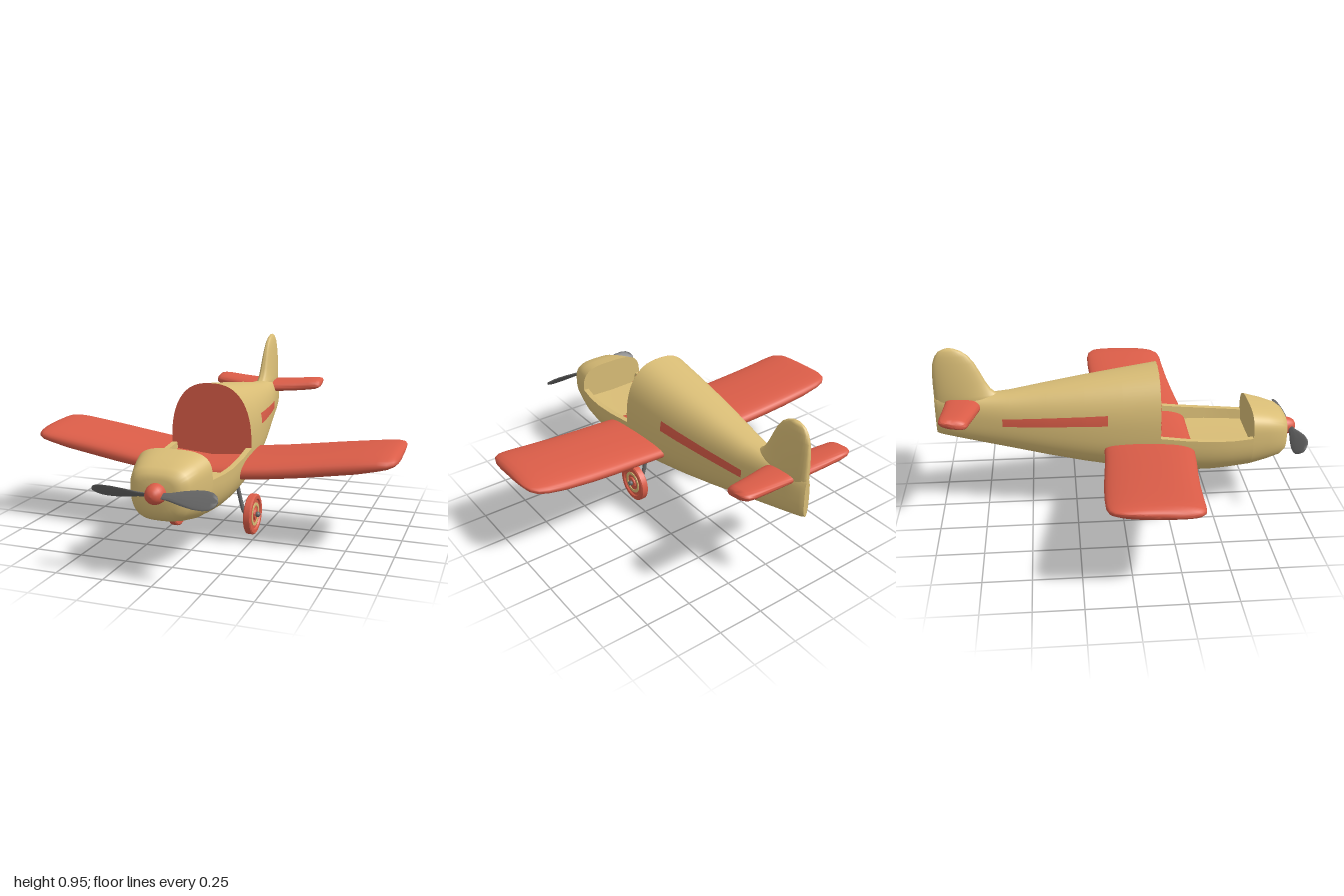
import * as THREE from 'three';
import { toCreasedNormals } from 'three/addons/utils/BufferGeometryUtils.js';

const mat = (color, side = THREE.FrontSide) => new THREE.MeshStandardMaterial({ color, side });
const TAN = mat(0xd9bd76), RED = mat(0xdb5d48), GREY = mat(0x666666);
const RED2 = mat(0xdb5d48, THREE.DoubleSide);
const { lerp } = THREE.MathUtils;
const spow = (v, e) => Math.sign(v) * Math.abs(v) ** e;

function add(parent, name, geo, material) {
  const mesh = new THREE.Mesh(geo, material);
  mesh.name = name;
  parent.add(mesh);
  return mesh;
}

// Skin a list of closed rings; caps are fans around each end ring's middle.
function loft(rings, capStart = true, capEnd = true, crease = 0.75) {
  const n = rings[0].length, pos = rings.flat(2), idx = [];
  for (let i = 0; i < rings.length - 1; i++) {
    for (let j = 0; j < n; j++) {
      const a = i * n + j, b = i * n + (j + 1) % n;
      idx.push(a, a + n, b, b, a + n, b + n);
    }
  }
  const cap = (r, flip) => {
    const c = pos.length / 3;
    pos.push(...[0, 1, 2].map((k) => rings[r].reduce((s, p) => s + p[k], 0) / n));
    for (let j = 0; j < n; j++) {
      const a = r * n + j, b = r * n + (j + 1) % n;
      flip ? idx.push(c, b, a) : idx.push(c, a, b);
    }
  };
  if (capStart) cap(0, false);
  if (capEnd) cap(rings.length - 1, true);
  const geo = new THREE.BufferGeometry();
  geo.setAttribute('position', new THREE.Float32BufferAttribute(pos, 3));
  geo.setIndex(idx);
  return toCreasedNormals(geo, crease);
}

// Fuselage stations: z, half width, bottom, height of widest point, top
const BODY = [
  [0.92, 0.09, 0.345, 0.42, 0.495], [0.912, 0.125, 0.312, 0.425, 0.52], [0.88, 0.15, 0.285, 0.435, 0.543],
  [0.8, 0.175, 0.262, 0.447, 0.568], [0.71, 0.198, 0.243, 0.455, 0.59], [0.6, 0.218, 0.225, 0.456, 0.62],
  [0.5, 0.228, 0.218, 0.46, 0.66], [0.35, 0.23, 0.216, 0.472, 0.74], [0.2, 0.225, 0.225, 0.49, 0.822],
  [0, 0.206, 0.252, 0.495, 0.792], [-0.2, 0.179, 0.287, 0.505, 0.762], [-0.4, 0.145, 0.327, 0.52, 0.73],
  [-0.6, 0.107, 0.372, 0.54, 0.696], [-0.75, 0.078, 0.405, 0.555, 0.685], [-0.9, 0.05, 0.44, 0.57, 0.685],
  [-0.98, 0.032, 0.46, 0.58, 0.685], [-1, 0.015, 0.468, 0.58, 0.68],
];
function station(z) {
  let i = 0;
  while (i < BODY.length - 2 && z < BODY[i + 1][0]) i++;
  const a = BODY[i], b = BODY[i + 1], t = (z - a[0]) / (b[0] - a[0]);
  const [w, lo, mid, hi] = [1, 2, 3, 4].map((k) => lerp(a[k], b[k], t));
  return { w, lo, mid, hi, n: z > 0.7 ? 3.2 : 2.5 };
}
function bodyPoint(z, angle) {
  const { w, lo, mid, hi, n } = station(z);
  const c = spow(Math.cos(angle), 2 / n), s = spow(Math.sin(angle), 2 / (angle > Math.PI ? 2.5 : n));
  return [w * c, mid + s * (s > 0 ? hi - mid : mid - lo), z];
}
function sideX(z, y) {
  const { w, lo, mid, hi, n } = station(z);
  const t = Math.min(1, Math.abs(y > mid ? (y - mid) / (hi - mid) : (mid - y) / (mid - lo)));
  return w * (1 - t ** n) ** (1 / n);
}
const SEG = 64;
const bodyRing = (z) => Array.from({ length: SEG }, (_, j) => bodyPoint(z, j / SEG * Math.PI * 2));
const zs = (from, to) => BODY.map((s) => s[0]).filter((z) => z <= from && z >= to);

// Open cockpit section: outer lower half, then rim, inner walls and floor
function tubRing(z) {
  const ring = [], { w, mid } = station(z), floor = 0.4, iw = w - 0.03;
  for (let j = 0; j <= 32; j++) ring.push(bodyPoint(z, Math.PI * (1 + j / 32) + (j ? 0 : 1e-6)));
  ring.push([iw, mid, z], [iw - 0.01, floor, z], [0, floor - 0.005, z], [-iw + 0.01, floor, z], [-iw, mid, z]);
  return ring;
}

// Full-span wing from half stations: x, rear z, front z, underside y, upper y
function wing(half) {
  const mirrored = half.slice(1).reverse().map(([x, ...r]) => [-x, ...r]);
  return loft([...mirrored, ...half].map(([x, zb, zf, lo, hi]) => {
    const mid = lo + (hi - lo) * 0.45;
    return Array.from({ length: 40 }, (_, j) => {
      const a = j / 40 * Math.PI * 2, c = Math.cos(a), s = spow(Math.sin(a), 0.8);
      const h = s > 0 ? (hi - mid) * (0.85 + 0.15 * c) : mid - lo;
      return [x, mid - 0.012 * c + s * h, (zf + zb) / 2 + spow(c, 0.85) * (zf - zb) / 2];
    });
  }), true, true, 1.2);
}

function makeWheel() {
  const wheel = new THREE.Group();
  const lathe = (pts) => new THREE.LatheGeometry(
    [...pts, ...pts.slice().reverse().map(([r, y]) => [r, -y])].map(([r, y]) => new THREE.Vector2(r, -y)), 48);
  const part = (name, pts, m) => add(wheel, name, toCreasedNormals(lathe(pts), 0.6), m);
  part('tyre', [[0, 0.013], [0.078, 0.013], [0.084, 0.021], [0.102, 0.021], [0.109, 0.016], [0.11, 0.01]], RED2);
  part('wheelRing', [[0.047, 0.01], [0.047, 0.017], [0.063, 0.017], [0.063, 0.01]], mat(0xd9bd76, THREE.DoubleSide));
  part('wheelHub', [[0, 0.021], [0.028, 0.021], [0.032, 0.012]], RED2);
  add(wheel, 'axleCap', new THREE.SphereGeometry(0.015, 20, 12), GREY).position.y = -0.028;
  wheel.rotation.z = Math.PI / 2;
  return wheel;
}

export function createModel() {
  const model = new THREE.Group();
  model.name = 'toyAirplane';

  // Fuselage
  add(model, 'nose', loft(zs(0.92, 0.71).map(bodyRing)), TAN);
  add(model, 'cockpitTub', loft(zs(0.71, 0.2).map(tubRing), false, false), TAN);
  add(model, 'rearFuselage', loft(zs(0.2, -1).map(bodyRing), false, true), TAN);
  add(model, 'bulkhead', loft([bodyRing(0.2), bodyRing(0.199)]), RED);

  // Tail fin: height, front z, rear z, half thickness
  const fin = [
    [0.55, -0.6, -0.998, 0.04], [0.67, -0.625, -1, 0.046], [0.69, -0.665, -1, 0.045], [0.715, -0.695, -1, 0.043],
    [0.76, -0.722, -1, 0.04], [0.82, -0.75, -0.998, 0.034], [0.87, -0.775, -0.992, 0.028], [0.91, -0.805, -0.978, 0.022],
    [0.937, -0.84, -0.958, 0.015], [0.951, -0.873, -0.93, 0.008], [0.955, -0.89, -0.915, 0.003],
  ];
  add(model, 'tailFin', loft(fin.map(([y, zf, zb, w]) => Array.from({ length: 32 }, (_, j) => {
    const a = j / 32 * Math.PI * 2;
    return [w * Math.cos(a), y, (zf + zb) / 2 + Math.sin(a) * (zf - zb) / 2];
  })), true, true, 1.2), TAN);

  // Wings
  add(model, 'mainWing', wing([
    [0, -0.09, 0.39, 0.345, 0.45], [0.2, -0.1, 0.388, 0.35, 0.468], [0.35, -0.108, 0.376, 0.361, 0.484],
    [0.5, -0.121, 0.359, 0.376, 0.502], [0.65, -0.133, 0.344, 0.396, 0.52], [0.8, -0.14, 0.335, 0.42, 0.535],
    [0.9, -0.14, 0.33, 0.445, 0.542], [0.95, -0.13, 0.322, 0.46, 0.542], [0.98, -0.105, 0.3, 0.476, 0.536],
    [0.995, -0.06, 0.255, 0.49, 0.525], [1, -0.01, 0.2, 0.5, 0.515],
  ]), RED);
  add(model, 'tailplane', wing([
    [0, -0.938, -0.748, 0.61, 0.68], [0.08, -0.94, -0.756, 0.615, 0.684], [0.18, -0.945, -0.778, 0.621, 0.69],
    [0.27, -0.95, -0.797, 0.629, 0.698], [0.31, -0.948, -0.803, 0.636, 0.698], [0.33, -0.938, -0.812, 0.646, 0.692],
    [0.339, -0.918, -0.832, 0.655, 0.682], [0.341, -0.895, -0.855, 0.662, 0.676],
  ]), RED);

  // Side stripes wrapped onto the fuselage
  for (const side of [1, -1]) {
    const geo = new THREE.PlaneGeometry(1, 1, 28, 6), p = geo.attributes.position;
    for (let i = 0; i < p.count; i++) {
      const u = 0.5 - side * p.getX(i), v = p.getY(i) + 0.5;
      const z = lerp(-0.64, -0.08, u);
      const y = lerp(lerp(0.534, 0.562, u), lerp(0.578, 0.62, u), v);
      p.setXYZ(i, side * (sideX(z, y) + 0.003), y, z);
    }
    geo.computeVertexNormals();
    add(model, side > 0 ? 'leftStripe' : 'rightStripe', geo, RED2);
  }

  // Propeller: twisted paddle blades and a rounded spinner
  const propeller = new THREE.Group();
  propeller.name = 'propeller';
  propeller.position.set(0, 0.43, 0.953);
  const blade = [[0.02, 0.012], [0.08, 0.022], [0.14, 0.038], [0.2, 0.05], [0.25, 0.052],
    [0.28, 0.045], [0.3, 0.031], [0.308, 0.018], [0.312, 0.004]];
  for (const side of [1, -1]) {
    const holder = new THREE.Group();
    holder.rotation.y = side > 0 ? 0 : Math.PI;
    add(holder, side > 0 ? 'leftBlade' : 'rightBlade', loft(blade.map(([x, c]) => Array.from({ length: 24 }, (_, j) => {
      const a = j / 24 * Math.PI * 2, u = c * Math.cos(a), v = 0.006 * Math.sin(a), k = Math.SQRT1_2;
      return [x, -u * k + v * k, u * k + v * k];
    })), true, true, 1.2), GREY);
    // The second blade is the first turned half a turn about the shaft
    holder.rotation.set(0, 0, side > 0 ? 0 : Math.PI);
    propeller.add(holder);
  }
  const spinner = [[0.05, -0.04], [0.049, -0.015], [0.042, 0.01], [0.03, 0.026], [0.015, 0.034], [0, 0.036]];
  add(propeller, 'spinner', new THREE.LatheGeometry(spinner.map(([r, y]) => new THREE.Vector2(r, y)), 32), RED2)
    .rotation.x = Math.PI / 2;
  model.add(propeller);

  // Landing gear
  for (const side of [1, -1]) {
    const gear = new THREE.Group();
    gear.name = side > 0 ? 'leftLandingGear' : 'rightLandingGear';
    const path = new THREE.CatmullRomCurve3([[0.125, 0.29], [0.14, 0.225], [0.16, 0.145], [0.17, 0.12], [0.19, 0.113], [0.245, 0.113]]
      .map(([x, y]) => new THREE.Vector3(side * x, y, 0.15)));
    add(gear, 'strut', new THREE.TubeGeometry(path, 40, 0.011, 12), GREY);
    const wheel = makeWheel();
    wheel.name = 'wheel';
    wheel.position.set(side * 0.218, 0.113, 0.15);
    if (side < 0) wheel.rotation.z = -Math.PI / 2;
    gear.add(wheel);
    model.add(gear);
  }
  model.position.y = -0.003;
  return model;
}
